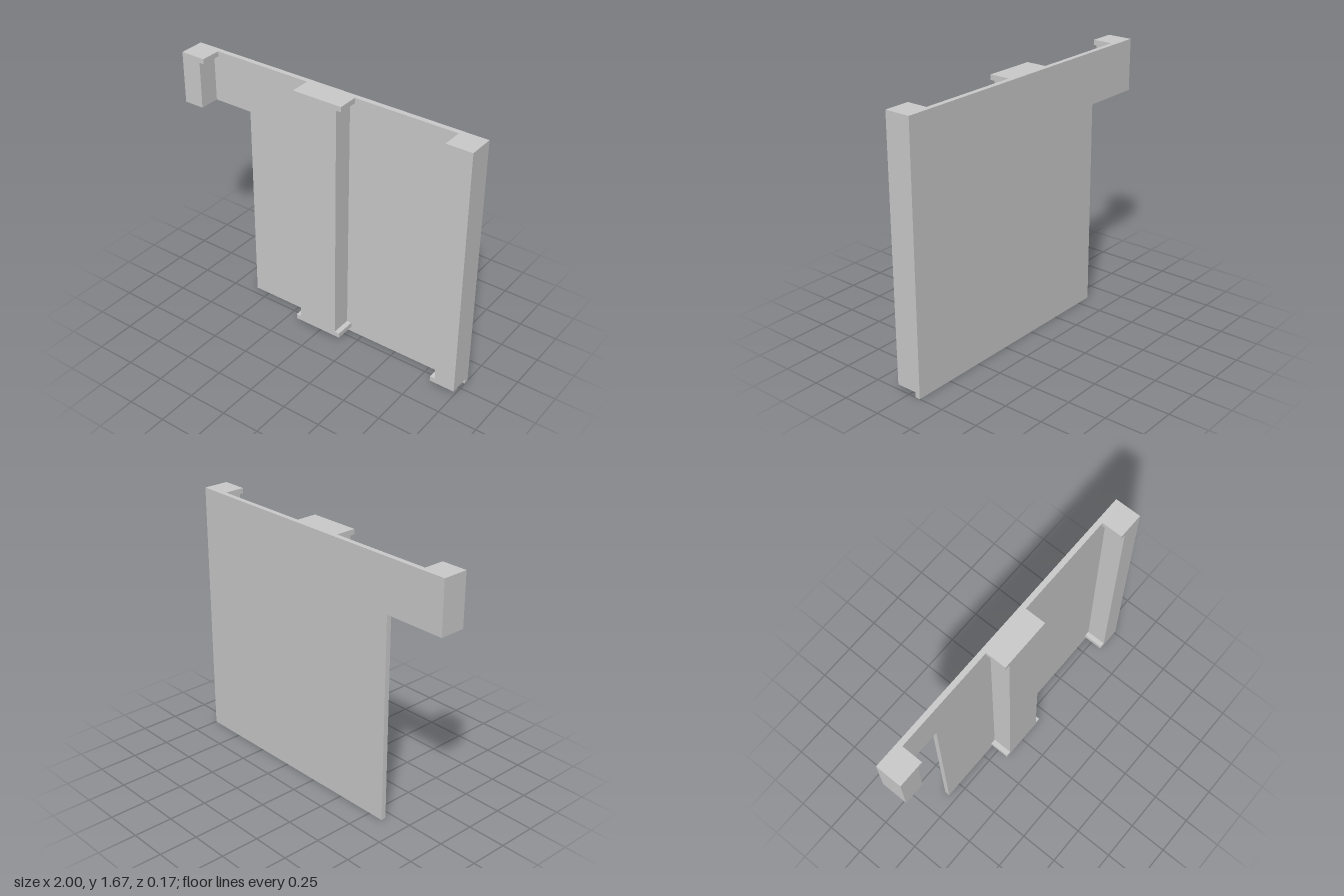
import * as THREE from 'three';

const TOP = 1.667, BACK = -0.083, FACE = -0.05, FRONT = 0.083;
const LIP = 0.033; // height and overhang of the pilaster caps and bases

export function createModel() {
  const group = new THREE.Group();
  const material = new THREE.MeshStandardMaterial({ color: 0xcccccc, flatShading: true });

  // Extrude an outline in the xy plane from z0 to z1
  function addSlab(name, points, z0, z1) {
    const shape = new THREE.Shape(points.map(([x, y]) => new THREE.Vector2(x, y)));
    const geometry = new THREE.ExtrudeGeometry(shape, { depth: z1 - z0, bevelEnabled: false });
    geometry.translate(0, 0, z0);
    const mesh = new THREE.Mesh(geometry, material);
    mesh.name = name;
    group.add(mesh);
  }

  // Pilaster with a cap, and optionally a base, overhanging on the chosen sides
  function addPilaster(name, x0, x1, bottom, lipLeft, lipRight, hasBase) {
    const a = x0 - lipLeft, b = x1 + lipRight;
    const foot = bottom + LIP, neck = TOP - LIP;
    const points = hasBase
      ? [[a, bottom], [b, bottom], [b, foot], [x1, foot]]
      : [[x0, bottom], [x1, bottom]];
    points.push([x1, neck], [b, neck], [b, TOP], [a, TOP], [a, neck], [x0, neck]);
    if (hasBase) points.push([x0, foot], [a, foot]);
    // Drop repeated corners on sides without an overhang
    const clean = points.filter((p, i) => {
      const q = points[(i + 1) % points.length];
      return p[0] !== q[0] || p[1] !== q[1];
    });
    addSlab(name, clean, FACE, FRONT);
  }

  // Thin back panel with a notch below the short arm
  addSlab('backPanel', [
    [-0.6, 0], [1, 0], [1, TOP], [-1, TOP], [-1, 1.333], [-0.6, 1.333],
  ], BACK, FACE);

  addPilaster('shortPilaster', -1, -0.867, 1.333, 0, LIP, false);
  addPilaster('centrePilaster', -0.133, 0.133, LIP, LIP, LIP, true);
  addPilaster('edgePilaster', 0.867, 1, LIP, LIP, 0, true);

  return group;
}
